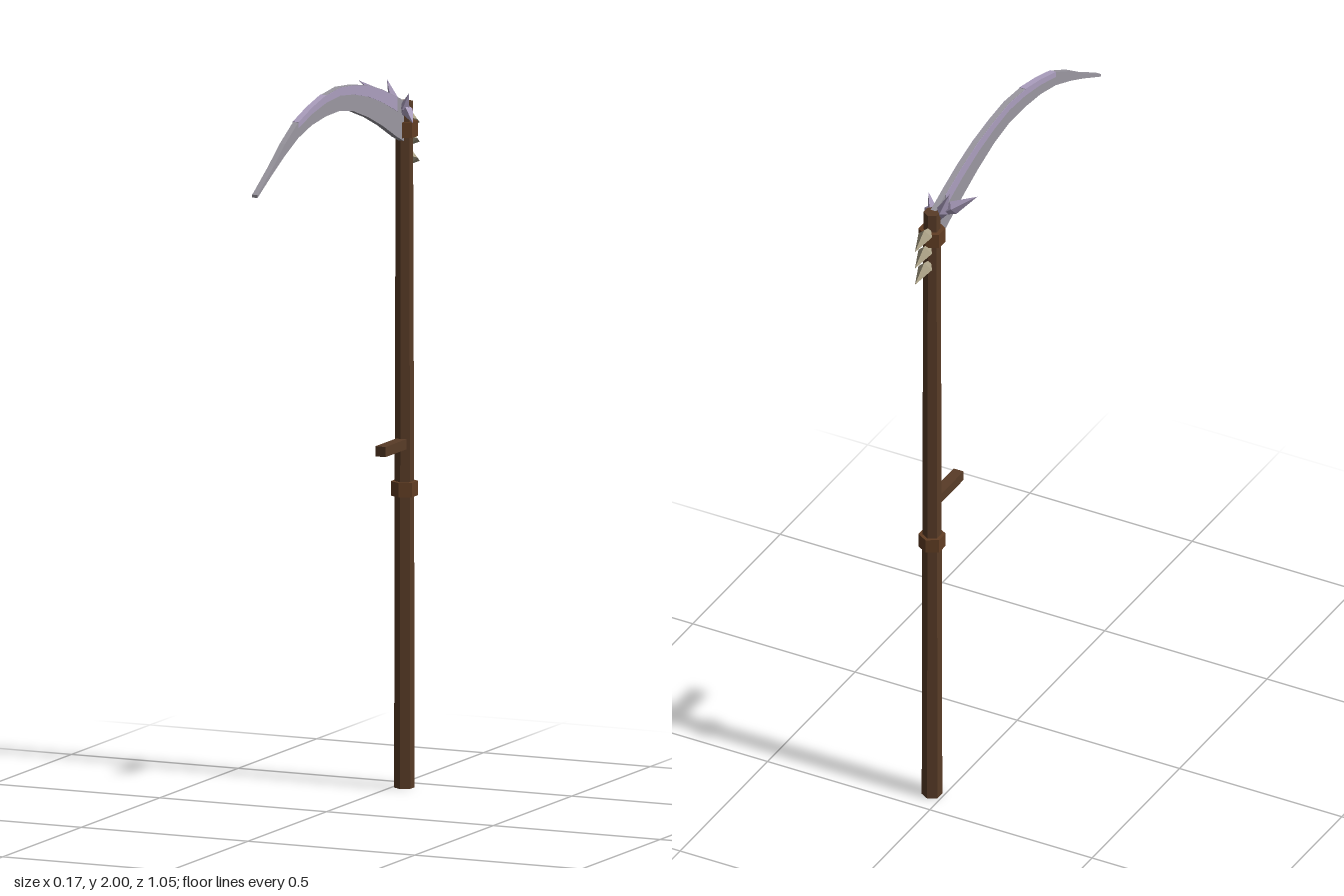
import * as THREE from 'three';

const X = 0.0325, Z = -0.427; // axis of the shaft

function flat(geometry) {
  const g = geometry.index ? geometry.toNonIndexed() : geometry;
  g.computeVertexNormals();
  return g;
}

// Blade stations: z, upper edge, lower edge
const stations = [
  [0.525, 1.788, 1.780], [0.423, 1.850, 1.833], [0.350, 1.900, 1.868],
  [0.265, 1.946, 1.903], [0.180, 1.972, 1.924], [0.090, 1.992, 1.934],
  [0, 2.0, 1.935], [-0.085, 1.992, 1.920], [-0.180, 1.976, 1.888],
  [-0.270, 1.950, 1.850], [-0.365, 1.914, 1.803], [-0.425, 1.890, 1.778],
];

// Extrudes a z-y outline across x, centred on the shaft
function plate(upper, lower, depth) {
  const shape = new THREE.Shape([...upper, ...lower.reverse()].map(p => new THREE.Vector2(...p)));
  const g = new THREE.ExtrudeGeometry(shape, { depth, bevelEnabled: false });
  return flat(g.rotateY(-Math.PI / 2).translate(X + depth / 2, 0, 0));
}

// Four-sided spike that swells near its root and ends in a point
function spike(base, tip, width, swell) {
  const a = new THREE.Vector3(...base), d = new THREE.Vector3(...tip).sub(a);
  const length = d.length();
  const profile = [[0, 0], [width, length * swell], [0, length]].map(p => new THREE.Vector2(...p));
  const g = flat(new THREE.LatheGeometry(profile, 4));
  const q = new THREE.Quaternion().setFromUnitVectors(new THREE.Vector3(0, 1, 0), d.normalize());
  return g.applyQuaternion(q).translate(a.x, a.y, a.z);
}

export function createModel() {
  const group = new THREE.Group();
  const mat = (name, color) => {
    const m = new THREE.MeshStandardMaterial({ color });
    m.name = name;
    return m;
  };
  const wood = mat('dark wood', 0x593c27);
  const band = mat('collar brown', 0x623e24);
  const steel = mat('blade grey', 0x9b98a1);
  const lilac = mat('lilac crystal', 0xac9fbf);
  const bone = mat('bone', 0xa69d83);
  const add = (name, geometry, material) => {
    const mesh = new THREE.Mesh(geometry, material);
    mesh.name = name;
    group.add(mesh);
  };

  // Six-sided shaft in two slightly tapered lengths, with two collars
  const hex = (name, rTop, rBottom, y0, y1, material) => add(name,
    flat(new THREE.CylinderGeometry(rTop, rBottom, y1 - y0, 6).translate(X, (y0 + y1) / 2, Z)), material);
  hex('lowerShaft', 0.0265, 0.028, 0, 0.82, wood);
  hex('upperShaft', 0.0235, 0.0265, 0.82, 1.892, wood);
  hex('middleCollar', 0.037, 0.037, 0.805, 0.845, band);
  hex('topCollar', 0.037, 0.037, 1.795, 1.838, band);

  // Hand grip
  add('grip', flat(new THREE.BoxGeometry(0.03, 0.028, 0.145).translate(X, 0.95, -0.3475)), wood);

  // Curved blade with a lilac band along its spine
  add('blade', plate(stations.map(s => [s[0], s[1]]), stations.map(s => [s[0], s[2]]), 0.016), steel);
  const strip = (name, rows, lift) => add(name, plate(
    rows.map(s => [s[0], s[1] + lift]),
    rows.map(s => [s[0], s[1] - (s[1] - s[2]) * 0.36]), 0.018), lilac);
  strip('spineBandFront', stations.slice(3, 6), 0.001);
  strip('spineBandRear', stations.slice(5, 11), -0.001);

  // Crystal shards around the blade root
  [
    [[0.025, 1.875, -0.412], [-0.081, 1.948, -0.378], 0.019, 0.4],
    [[0.025, 1.850, -0.410], [-0.012, 1.952, -0.410], 0.017, 0.4],
    [[0.035, 1.850, -0.405], [0.066, 1.922, -0.385], 0.015, 0.4],
    [[0.036, 1.895, -0.408], [0.084, 1.842, -0.374], 0.016, 0.45],
  ].forEach((s, i) => add('crystal' + (i + 1), spike(...s), lilac));

  // Row of bone claws down the back
  for (let i = 0; i < 3; i++) {
    const y = 1.848 - i * 0.053;
    add('claw' + (i + 1), spike([X, y, -0.435], [X, y - 0.031, -0.525], 0.021, 0.34), bone);
  }
  return group;
}
